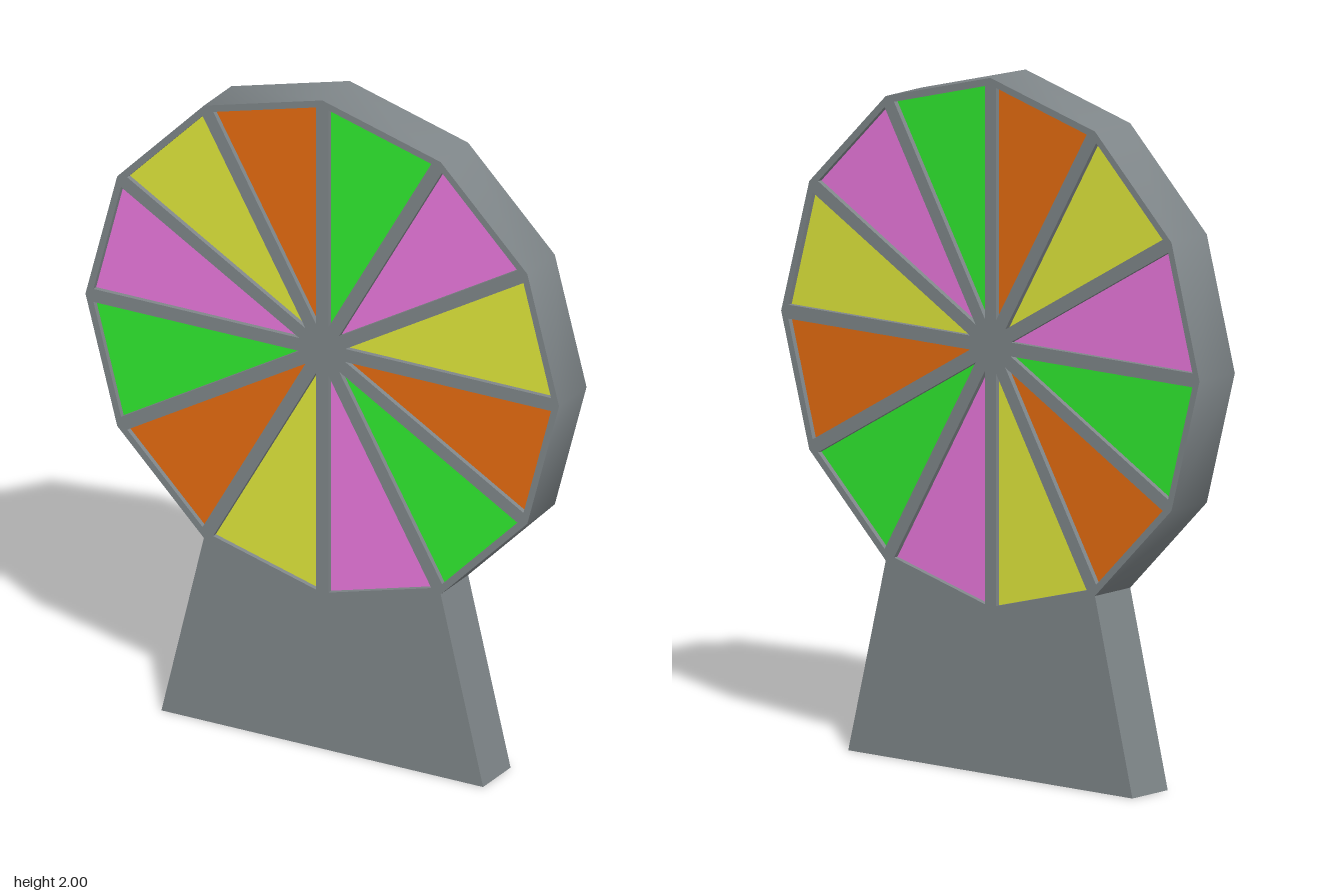
import * as THREE from 'three';
import { toCreasedNormals } from 'three/addons/utils/BufferGeometryUtils.js';

const SIDES = 12;
const STEP = (Math.PI * 2) / SIDES;
const RADIUS = 0.77;
const CENTER_Y = 1.23;
const DEPTH = 0.154;
const RECESS = 0.015;    // how far the panels sit below the frame faces
const SPOKE_HALF = 0.02; // half the spoke width
const RIM = 0.02;        // rim thickness

// Point at a clockwise angle from the top
const polar = (r, a) => new THREE.Vector2(r * Math.sin(a), r * Math.cos(a));

// Extrusion centred on z = 0, smooth around the rim and sharp elsewhere
function slab(shape, depth) {
  const geo = new THREE.ExtrudeGeometry(shape, { depth, bevelEnabled: false });
  geo.translate(0, 0, -depth / 2);
  return toCreasedNormals(geo, STEP + 0.03);
}

// Wedge between two spokes, inset from the spokes and the rim
function wedgePoints(i) {
  const mid = (i + 0.5) * STEP;
  const half = STEP / 2;
  const apothem = RADIUS * Math.cos(half) - RIM;
  const tip = SPOKE_HALF / Math.sin(half);
  const halfBase = (apothem - tip) * Math.tan(half);
  const r = Math.hypot(apothem, halfBase);
  const spread = Math.atan2(halfBase, apothem);
  return [polar(tip, mid), polar(r, mid - spread), polar(r, mid + spread)];
}

export function createModel() {
  const group = new THREE.Group();
  const material = (color) => new THREE.MeshStandardMaterial({ color });
  const frameMat = material(0x7f8689);
  const panelMats = [0x30eb30, 0xea78de, 0xe0e83b, 0xe66c10].map(material);

  const add = (name, geo, mat, parent, y = 0) => {
    const mesh = new THREE.Mesh(geo, mat);
    mesh.name = name;
    mesh.position.y = y;
    parent.add(mesh);
  };

  // Twelve-sided frame, outlined counter-clockwise, with clockwise wedge openings
  const rim = new THREE.Shape(
    Array.from({ length: SIDES }, (_, i) => polar(RADIUS, -i * STEP)));
  for (let i = 0; i < SIDES; i++) rim.holes.push(new THREE.Path(wedgePoints(i)));
  add('wheelFrame', slab(rim, DEPTH), frameMat, group, CENTER_Y);

  // Coloured panels, recessed on both faces
  const panels = new THREE.Group();
  panels.name = 'panels';
  group.add(panels);
  for (let i = 0; i < SIDES; i++) {
    const geo = slab(new THREE.Shape(wedgePoints(i)), DEPTH - 2 * RECESS);
    add(`panel${i + 1}`, geo, panelMats[i % 4], panels, CENTER_Y);
  }

  // Tapered stand that follows the two lowest rim edges
  const corner = polar(RADIUS, Math.PI - STEP);
  const stand = new THREE.Shape([
    new THREE.Vector2(-0.523, 0),
    new THREE.Vector2(0.523, 0),
    new THREE.Vector2(corner.x, CENTER_Y + corner.y),
    new THREE.Vector2(0, CENTER_Y - RADIUS),
    new THREE.Vector2(-corner.x, CENTER_Y + corner.y),
  ]);
  add('stand', slab(stand, DEPTH), frameMat, group);

  return group;
}
